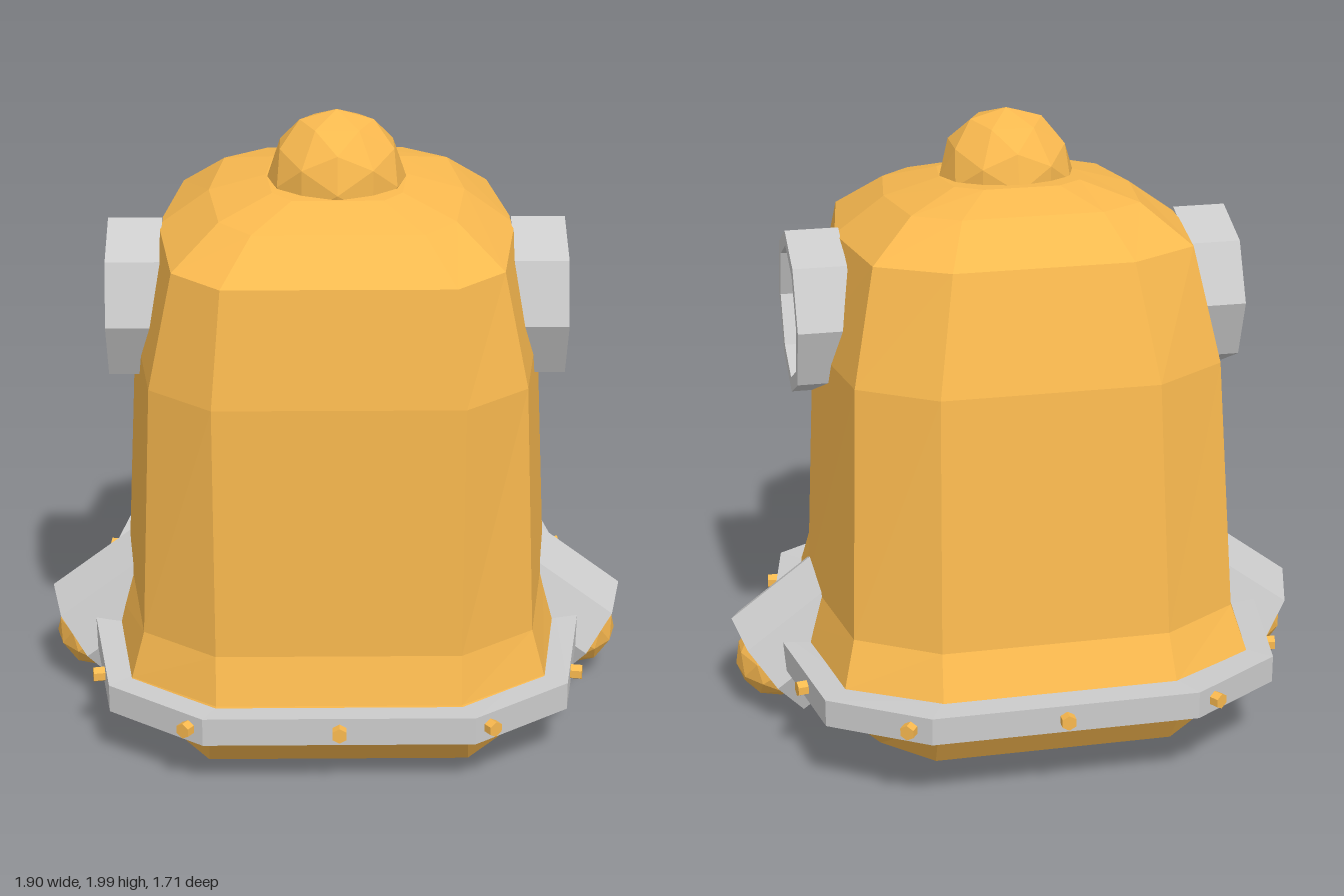
import * as THREE from 'three';

const paint = (color) => new THREE.MeshStandardMaterial({ color, flatShading: true, side: THREE.DoubleSide });

// Twelve-point tilted outline: front/back heights, depths, corner depths, flat half-widths, corner and side half-widths
function ring(yF, yB, zF, zB, cornerF, cornerB, flatF, flatB, corner, side) {
  const half = [[0, zF], [flatF, zF], [corner, cornerF], [side, (zF + zB) / 2], [corner, cornerB], [flatB, zB], [0, zB]];
  const all = [...half, ...half.slice(1, 6).reverse().map(([x, z]) => [-x, z])];
  return all.map(([x, z]) => new THREE.Vector3(x, yB + (yF - yB) * (z - zB) / (zF - zB), z));
}

// Skin over successive rings; capped at both ends or closed into a loop
function loft(rings, loop = false) {
  const pos = [];
  const tri = (...pts) => pts.forEach((p) => pos.push(p.x, p.y, p.z));
  const n = rings[0].length;
  const last = loop ? rings.length : rings.length - 1;
  for (let i = 0; i < last; i++) {
    const lo = rings[i], hi = rings[(i + 1) % rings.length];
    for (let j = 0; j < n; j++) {
      const k = (j + 1) % n;
      tri(lo[j], lo[k], hi[k]);
      tri(lo[j], hi[k], hi[j]);
    }
  }
  if (!loop) {
    const cap = (r, up) => {
      const mid = r.reduce((s, p) => s.add(p), new THREE.Vector3()).divideScalar(n);
      for (let j = 0; j < n; j++) {
        const k = (j + 1) % n;
        if (up) tri(mid, r[j], r[k]); else tri(mid, r[k], r[j]);
      }
    };
    cap(rings[0], false);
    cap(rings[rings.length - 1], true);
  }
  const g = new THREE.BufferGeometry();
  g.setAttribute('position', new THREE.Float32BufferAttribute(pos, 3));
  g.computeVertexNormals();
  return g;
}

// Octagonal cup along +y with a rim and a recessed floor; open end at y = 0
function cup(radius, inner, recess, length) {
  const profile = [[0, -length], [radius, -length], [radius, 0], [inner, 0], [inner, -recess], [0, -recess]];
  return new THREE.LatheGeometry(profile.map(([r, y]) => new THREE.Vector2(r, y)), 8);
}

export function createModel() {
  const model = new THREE.Group();
  const orange = paint(0xf9b94f);
  const grey = paint(0xcccccc);
  const add = (name, geometry, material, parent = model) => {
    const mesh = new THREE.Mesh(geometry, material);
    mesh.name = name;
    parent.add(mesh);
    return mesh;
  };

  // Bell-shaped hull, leaning back slightly
  add('hull', loft([
    ring(0.02, 0.11, 0.62, -0.65, 0.45, -0.48, 0.41, 0.38, 0.53, 0.6),
    ring(0.20, 0.30, 0.77, -0.78, 0.58, -0.59, 0.40, 0.39, 0.68, 0.76),
    ring(0.27, 0.36, 0.74, -0.75, 0.56, -0.57, 0.38, 0.37, 0.65, 0.74),
    ring(0.42, 0.50, 0.70, -0.68, 0.54, -0.51, 0.38, 0.36, 0.61, 0.69),
    ring(1.23, 1.30, 0.70, -0.59, 0.54, -0.42, 0.38, 0.34, 0.575, 0.645),
    ring(1.59, 1.66, 0.65, -0.48, 0.51, -0.34, 0.35, 0.28, 0.50, 0.56),
    ring(1.71, 1.77, 0.49, -0.31, 0.38, -0.21, 0.26, 0.22, 0.36, 0.40),
    ring(1.77, 1.81, 0.33, -0.14, 0.26, -0.07, 0.14, 0.12, 0.2, 0.22),
  ]), orange);

  // Tilted belt around the base
  const belt = (lift, inset) => ring(0.22 + lift, 0.32 + lift, 0.815 - inset, -0.835 + inset,
    0.61 - inset, -0.63 + inset, 0.42 - inset / 2, 0.42 - inset / 2, 0.72 - inset, 0.825 - inset);
  add('belt', loft([belt(-0.045, 0.1), belt(-0.045, 0), belt(0.045, 0), belt(0.045, 0.1)], true), grey);

  // Bolts standing out along the belt: x, z and outward direction
  const bolts = [[0, 0.815, 0, 1], [0, -0.835, 0, -1]];
  for (const s of [1, -1]) {
    bolts.push([s * 0.465, 0.785, s * 0.55, 0.83], [s * 0.48, -0.795, s * 0.55, -0.83],
      [s * 0.752, 0.46, s * 0.985, 0.17], [s * 0.757, -0.43, s * 0.985, -0.17]);
  }
  const boltShape = new THREE.CylinderGeometry(0.025, 0.025, 0.06, 6).rotateX(Math.PI / 2);
  for (const [x, z, dx, dz] of bolts) {
    const bolt = add('bolt', boltShape, orange);
    bolt.position.set(x, 0.27 - z * 0.06, z);
    bolt.rotation.y = Math.atan2(dx, dz);
  }

  // Crown knob
  add('crownKnob', new THREE.IcosahedronGeometry(0.218, 1), orange).position.set(0, 1.783, 0.11);

  for (const s of [1, -1]) {
    const label = s > 0 ? 'left' : 'right';

    // Round window on the flank
    const porthole = add(label + 'Porthole', cup(0.266, 0.218, 0.06, 0.17), grey);
    porthole.geometry.rotateY(0.07 * s);
    porthole.position.set(s * 0.718, 1.382, 0.062);
    porthole.rotation.z = -s * Math.PI / 2;

    // Lamp pointing outward and down
    const lamp = new THREE.Group();
    lamp.name = label + 'Lamp';
    lamp.position.set(s * 0.825, 0.178, 0);
    lamp.rotation.z = -s * (Math.PI / 2 + 0.645);
    model.add(lamp);
    add(label + 'LampHousing', cup(0.208, 0.165, 0.09, 0.34), grey, lamp);
    add(label + 'LampBulb', new THREE.IcosahedronGeometry(0.133, 1), orange, lamp).position.y = -0.02;
  }
  return model;
}
